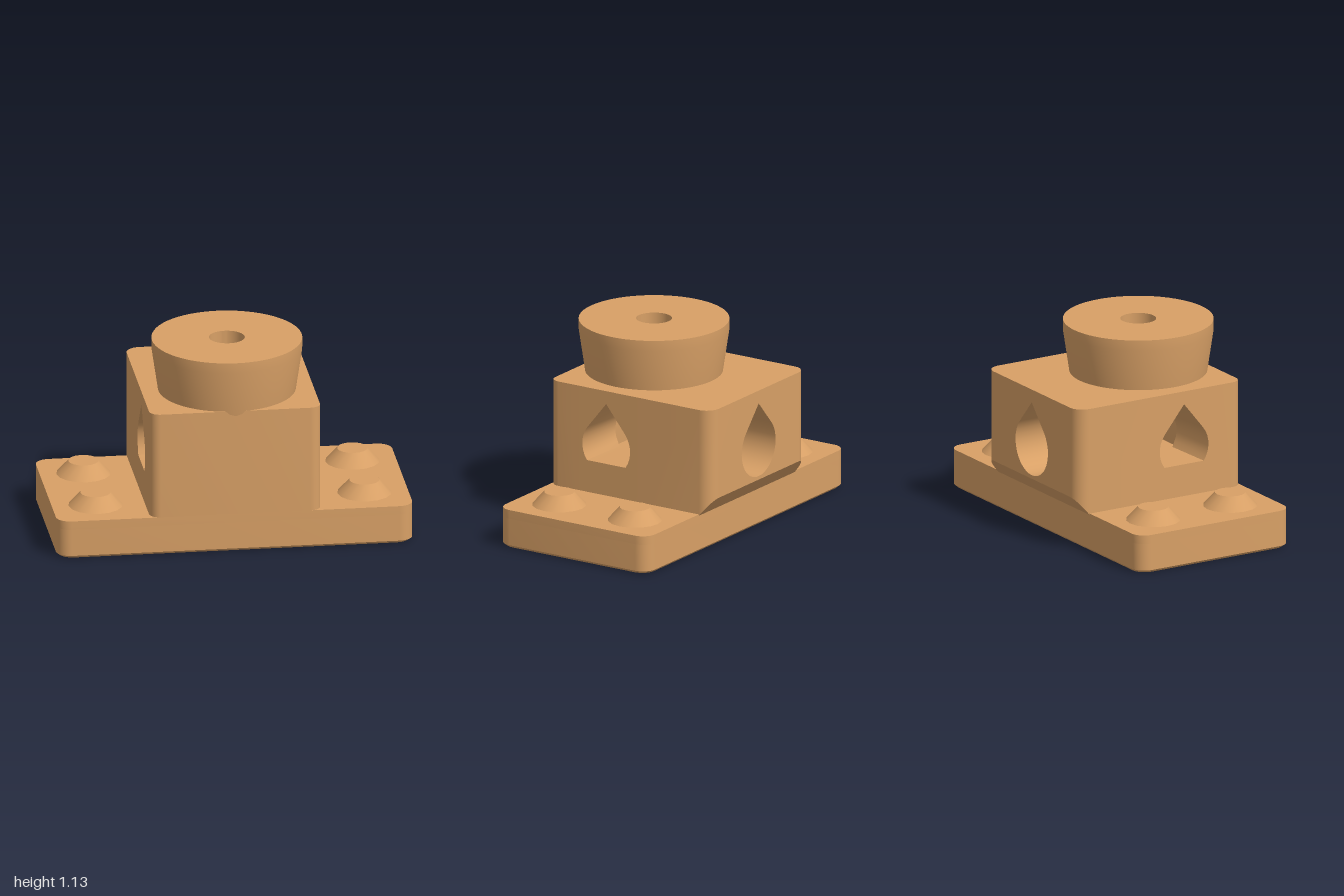
import * as THREE from 'three';
import { toCreasedNormals } from 'three/addons/utils/BufferGeometryUtils.js';

const PLATE_Z = 0.02, TOP = 0.83, HALF_W = 0.48;
const HOLE_Z = 0.14, HOLE_Y = 0.5, FLOOR = 0.405;

// Rectangle with separate radii for the lower and upper corners
function roundedRect(x0, y0, x1, y1, lower = 0, upper = 0) {
  const s = new THREE.Shape();
  const corner = (cx, cy, r, a) => {
    const n = r ? 8 : 0;
    for (let i = 0; i <= n; i++) {
      const t = a + (n ? (i / n) * Math.PI / 2 : 0);
      const x = cx + r * Math.cos(t), y = cy + r * Math.sin(t);
      if (s.curves.length || s.started) s.lineTo(x, y);
      else { s.moveTo(x, y); s.started = true; }
    }
  };
  corner(x0 + lower, y0 + lower, lower, Math.PI);
  corner(x1 - lower, y0 + lower, lower, Math.PI * 1.5);
  corner(x1 - upper, y1 - upper, upper, 0);
  corner(x0 + upper, y1 - upper, upper, Math.PI / 2);
  return s;
}

// Round hole with a pointed roof and an optional flat floor
function teardrop(cx, cy, r, tip, floor = -Infinity) {
  const pts = [new THREE.Vector2(cx, cy + tip)];
  const h = Math.acos(r / tip), n = 24;
  for (let i = 0; i <= n; i++) {
    const a = Math.PI / 2 + h + (i / n) * (Math.PI * 2 - 2 * h);
    pts.push(new THREE.Vector2(cx + r * Math.cos(a), Math.max(floor, cy + r * Math.sin(a))));
  }
  return new THREE.Path(pts);
}

const circle = (x, y, r) => new THREE.Path().absarc(x, y, r, 0, Math.PI * 2, true);

// Extrude in whole steps (z = step number), then move each vertex by a rule
function extrude(shape, steps, rule) {
  const g = new THREE.ExtrudeGeometry(shape, { depth: steps, steps, bevelEnabled: false, curveSegments: 24 });
  const p = g.attributes.position, v = new THREE.Vector3();
  for (let i = 0; i < p.count; i++) {
    v.fromBufferAttribute(p, i);
    rule(v, Math.round(v.z));
    p.setXYZ(i, v.x, v.y, v.z);
  }
  return g;
}

export function createModel() {
  const model = new THREE.Group();
  const tan = new THREE.MeshStandardMaterial({ color: 0xd8a066 });
  tan.name = 'tan';
  const add = (name, geo, parent = model) => {
    const m = new THREE.Mesh(toCreasedNormals(geo, 0.6), tan);
    m.name = name;
    parent.add(m);
    return m;
  };
  const upright = (g) => g.rotateX(-Math.PI / 2);
  const box = (x0, x1, y0, y1, z0, z1) => new THREE.BoxGeometry(x1 - x0, y1 - y0, z1 - z0)
    .translate((x0 + x1) / 2, (y0 + y1) / 2, (z0 + z1) / 2);

  // Base plate: chamfered lower layer with eight sockets, solid top layer
  const levels = [0, 0.015, 0.03, 0.17], flare = [1.19, 1.12, 1, 1];
  const lower = roundedRect(-1, -0.5, 1, 0.5, 0.08, 0.08);
  const sockets = [];
  for (const x of [-0.75, -0.25, 0.25, 0.75]) for (const y of [-0.253, 0.253]) {
    sockets.push([x, y]);
    lower.holes.push(circle(x, y, 0.13));
  }
  const lowerGeo = extrude(lower, 3, (v, k) => {
    v.z = levels[k];
    if (Math.abs(v.x) > 0.91 || Math.abs(v.y) > 0.42) {
      if (k === 0) { v.x *= 0.985; v.y *= 0.97; }
    } else {
      const [cx, cy] = sockets.find(([x, y]) => Math.hypot(v.x - x, v.y - y) < 0.2);
      v.x = cx + (v.x - cx) * flare[k];
      v.y = cy + (v.y - cy) * flare[k];
    }
  });
  add('basePlateLower', upright(lowerGeo).translate(0, 0, PLATE_Z));
  const upper = extrude(roundedRect(-1, -0.5, 1, 0.5, 0.08, 0.08), 1, (v, k) => { v.z = k ? 0.22 : 0.17; });
  add('basePlateTop', upright(upper).translate(0, 0, PLATE_Z));

  // Four tapered studs
  for (const x of [-0.755, 0.755]) for (const z of [-0.236, 0.27]) {
    add('stud', new THREE.CylinderGeometry(0.085, 0.152, 0.075, 16).translate(x, 0.2575, z));
  }

  const block = new THREE.Group();
  block.name = 'block';
  model.add(block);

  // Front wall with rounded corners
  const front = extrude(roundedRect(-HALF_W, -0.52, HALF_W, -0.32, 0.06, 0), 1, (v, k) => { v.z = k ? TOP : 0.22; });
  add('blockFront', upright(front), block);

  // Side walls, each with a slightly tapered cross tunnel
  for (const s of [-1, 1]) {
    const u = -s * HOLE_Z;
    const ends = [-s * 0.32, s * 0.03].sort((a, b) => a - b);
    const side = roundedRect(ends[0], 0.22, ends[1], TOP);
    side.holes.push(teardrop(u, HOLE_Y, 0.16, 0.255, FLOOR));
    const geo = extrude(side, 1, (v, k) => {
      const bore = v.y > 0.3 && v.y < 0.8;
      if (bore && k === 0) {
        v.x = u + (v.x - u) * 0.91;
        if (v.y > FLOOR + 0.001) v.y = Math.max(FLOOR, HOLE_Y + (v.y - HOLE_Y) * 0.91);
      }
      v.z = k ? HALF_W : 0.17;
    });
    add('blockSide', geo.rotateY(s * Math.PI / 2), block);
  }

  // Inner chamber: floor, front face and roof pierced by the vertical bore
  add('chamberFloor', box(-0.17, 0.17, 0.22, FLOOR, -0.03, 0.32), block);
  add('chamberFront', box(-0.17, 0.17, FLOOR, 0.74, 0.286, 0.32), block);
  const roof = roundedRect(-0.17, -0.32, 0.17, 0.03);
  roof.holes.push(circle(0, -HOLE_Z, 0.1));
  add('chamberRoof', upright(extrude(roof, 1, (v, k) => { v.z = k ? TOP : 0.74; })), block);

  // Back of the block: pointed hole, rounded corners, sloped underside
  const back = roundedRect(-HALF_W, 0.2, HALF_W, TOP);
  back.holes.push(teardrop(0, HOLE_Y, 0.17, 0.255));
  const backGeo = extrude(back, 10, (v, k) => {
    const a = Math.max(0, (k - 1) / 9) * Math.PI / 2;
    v.z = k === 0 ? 0.03 : 0.48 + 0.08 * Math.sin(a);
    if (Math.abs(v.x) > 0.45) v.x = Math.sign(v.x) * (HALF_W - 0.08 + 0.08 * Math.cos(a));
    if (v.y < 0.25) v.y += 0.11 * Math.max(0, v.z - 0.47) / 0.09;
  });
  add('blockBack', backGeo.rotateY(Math.PI), block);

  // Flared collar with a central bore
  const profile = [[0.1, 0.78], [0.377, 0.78], [0.42, 1.07], [0.42, 1.13], [0.1, 1.13], [0.1, 0.78]]
    .map(([r, y]) => new THREE.Vector2(r, y));
  add('collar', new THREE.LatheGeometry(profile, 64).translate(0, 0, HOLE_Z), model);

  return model;
}
